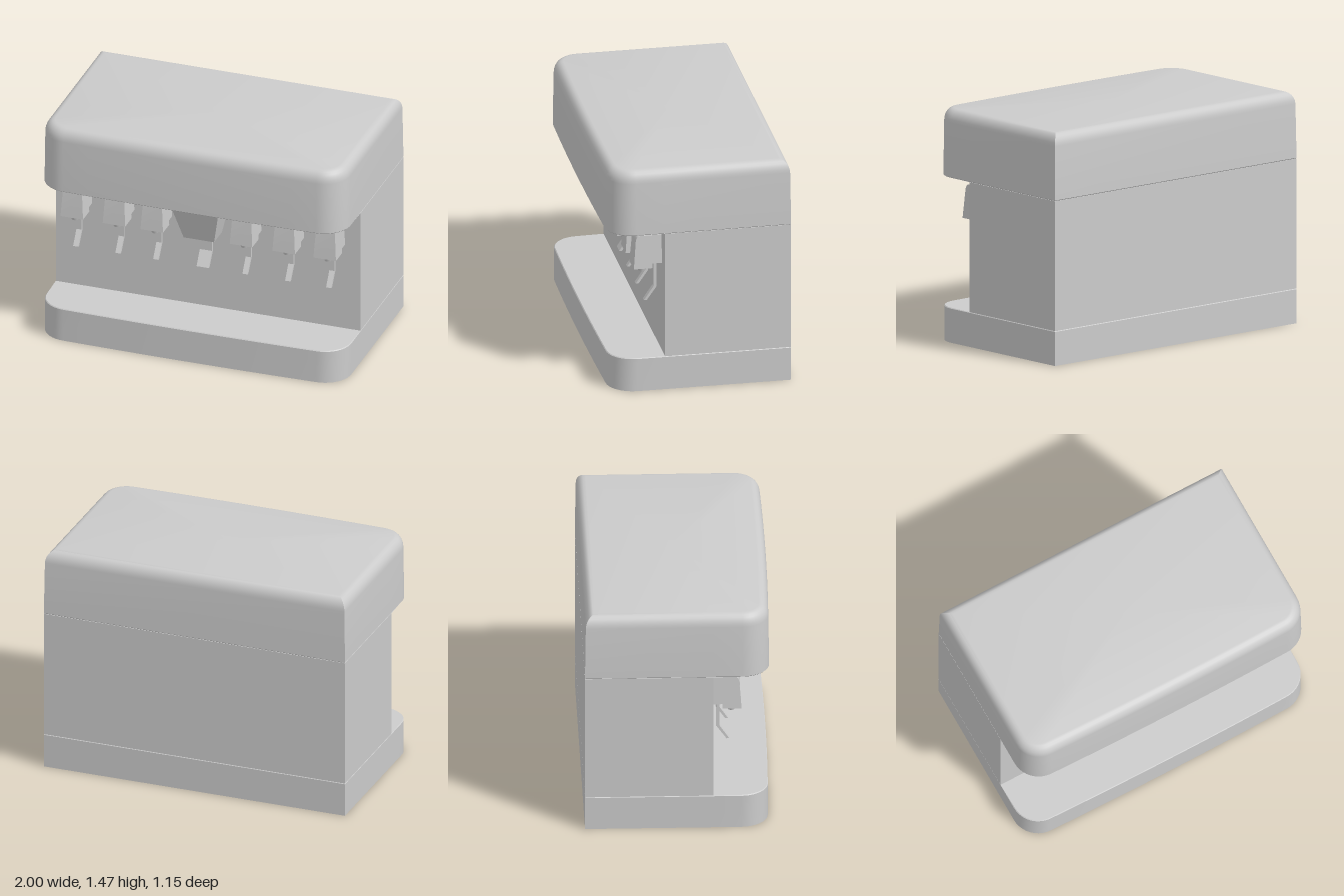
import * as THREE from 'three';
import { toCreasedNormals } from 'three/addons/utils/BufferGeometryUtils.js';

const material = new THREE.MeshStandardMaterial({ color: 0xcccccc });

function addMesh(parent, name, geometry) {
  const mesh = new THREE.Mesh(geometry, material);
  mesh.name = name;
  parent.add(mesh);
  return mesh;
}

// Plan outline: square back corners, rounded front corners, slightly bowed front
function footprint(y, inset, front, zLimit = Infinity) {
  const w = 1 - inset, r = 0.17 - inset, f = front - inset - 0.01, back = -0.575 + inset;
  const points = [[w, back], [w, 0.22]];
  for (let i = 0; i <= 10; i++) {
    const a = (i / 10) * Math.PI / 2;
    points.push([w - r + r * Math.cos(a), f - r + r * Math.sin(a)]);
  }
  for (let i = 1; i < 10; i++) {
    const t = 1 - i / 5;
    points.push([t * (w - r), f + 0.01 * (1 - t * t)]);
  }
  for (let i = 10; i >= 0; i--) {
    const a = (i / 10) * Math.PI / 2;
    points.push([-(w - r + r * Math.cos(a)), f - r + r * Math.sin(a)]);
  }
  points.push([-w, 0.22], [-w, back]);
  return points.map(([x, z]) => new THREE.Vector3(x, y, Math.min(z, zLimit)));
}

// Closed skin through a stack of rings
function loft(rings) {
  const n = rings[0].length, positions = [], index = [];
  rings.forEach(ring => ring.forEach(p => positions.push(p.x, p.y, p.z)));
  for (let i = 0; i < rings.length - 1; i++) {
    for (let j = 0; j < n; j++) {
      const a = i * n + j, b = i * n + (j + 1) % n;
      index.push(a, a + n, b, b, a + n, b + n);
    }
  }
  const bottom = rings.length * n, top = bottom + 1, last = bottom - n;
  positions.push(0, rings[0][0].y, 0, 0, rings[rings.length - 1][0].y, 0);
  for (let j = 0; j < n; j++) {
    const k = (j + 1) % n;
    index.push(bottom, j, k, top, last + k, last + j);
  }
  const geometry = new THREE.BufferGeometry();
  geometry.setAttribute('position', new THREE.Float32BufferAttribute(positions, 3));
  geometry.setIndex(index);
  return toCreasedNormals(geometry, 0.6);
}

// Side profile in (z, y), extruded across x and centred
function sideExtrude(shape, width) {
  const geometry = new THREE.ExtrudeGeometry(shape, { depth: width, bevelEnabled: false, curveSegments: 6 });
  return geometry.translate(0, 0, -width / 2).rotateY(-Math.PI / 2);
}

function shapeOf(points) {
  return new THREE.Shape(points.map(([z, y]) => new THREE.Vector2(z, y)));
}

// Bent flat lever
function leverGeometry(width, top) {
  return sideExtrude(shapeOf([
    [0.245, top], [0.245, 0.625], [0.305, 0.54], [0.323, 0.54], [0.262, 0.63], [0.262, top],
  ]), width);
}

// Valve housing, wider at the bottom than at the top
function valveGeometry() {
  const shape = new THREE.Shape();
  shape.moveTo(0.22, 0.99);
  shape.lineTo(0.22, 0.805);
  shape.lineTo(0.28, 0.805);
  shape.lineTo(0.28, 0.775);
  shape.lineTo(0.397, 0.775);
  shape.lineTo(0.383, 0.955);
  shape.quadraticCurveTo(0.38, 0.99, 0.35, 0.99);
  shape.closePath();
  const geometry = sideExtrude(shape, 2);
  const p = geometry.attributes.position;
  for (let i = 0; i < p.count; i++) {
    const t = (p.getY(i) - 0.775) / 0.215;
    p.setX(i, p.getX(i) * THREE.MathUtils.lerp(0.074, 0.06, t));
  }
  return toCreasedNormals(geometry, 0.5);
}

// Tapered chute with a sloping front
function chuteGeometry() {
  const geometry = new THREE.BoxGeometry(2, 1, 1).toNonIndexed();
  const p = geometry.attributes.position;
  for (let i = 0; i < p.count; i++) {
    const up = p.getY(i) > 0, front = p.getZ(i) > 0;
    p.setXYZ(i, p.getX(i) * (up ? 0.163 : 0.1), up ? 1.04 : 0.765, front ? (up ? 0.482 : 0.393) : 0.245);
  }
  geometry.computeVertexNormals();
  return geometry;
}

export function createModel() {
  const group = new THREE.Group();
  group.name = 'drinkDispenser';

  // Cabinet: drip base, recessed column, overhanging hood with rounded top
  const rings = [
    footprint(0, 0, 0.572), footprint(0.215, 0, 0.572), footprint(0.22, 0.005, 0.572),
    footprint(0.22, 0, 0.572, 0.22), footprint(1.04, 0, 0.58, 0.22),
    footprint(1.04, 0.005, 0.58), footprint(1.045, 0, 0.58),
  ];
  for (let i = 0; i <= 6; i++) {
    const a = (i / 6) * Math.PI / 2;
    rings.push(footprint(1.385 + 0.08 * Math.sin(a), 0.005 + 0.06 * (1 - Math.cos(a)), 0.58));
  }
  addMesh(group, 'cabinet', loft(rings));

  // Central chute and its wide lever
  addMesh(group, 'chute', chuteGeometry());
  addMesh(group, 'chuteLever', leverGeometry(0.08, 0.77));

  // Row of drink valves
  const valve = valveGeometry();
  const nozzle = new THREE.CylinderGeometry(0.033, 0.021, 0.037, 20);
  const lever = leverGeometry(0.034, 0.806);
  [-0.833, -0.556, -0.308, 0.278, 0.558, 0.827].forEach((x, i) => {
    const tap = new THREE.Group();
    tap.name = `tap${i + 1}`;
    tap.position.x = x;
    addMesh(tap, 'valve', valve);
    addMesh(tap, 'nozzle', nozzle).position.set(0, 0.757, 0.335);
    addMesh(tap, 'lever', lever);
    group.add(tap);
  });
  return group;
}
